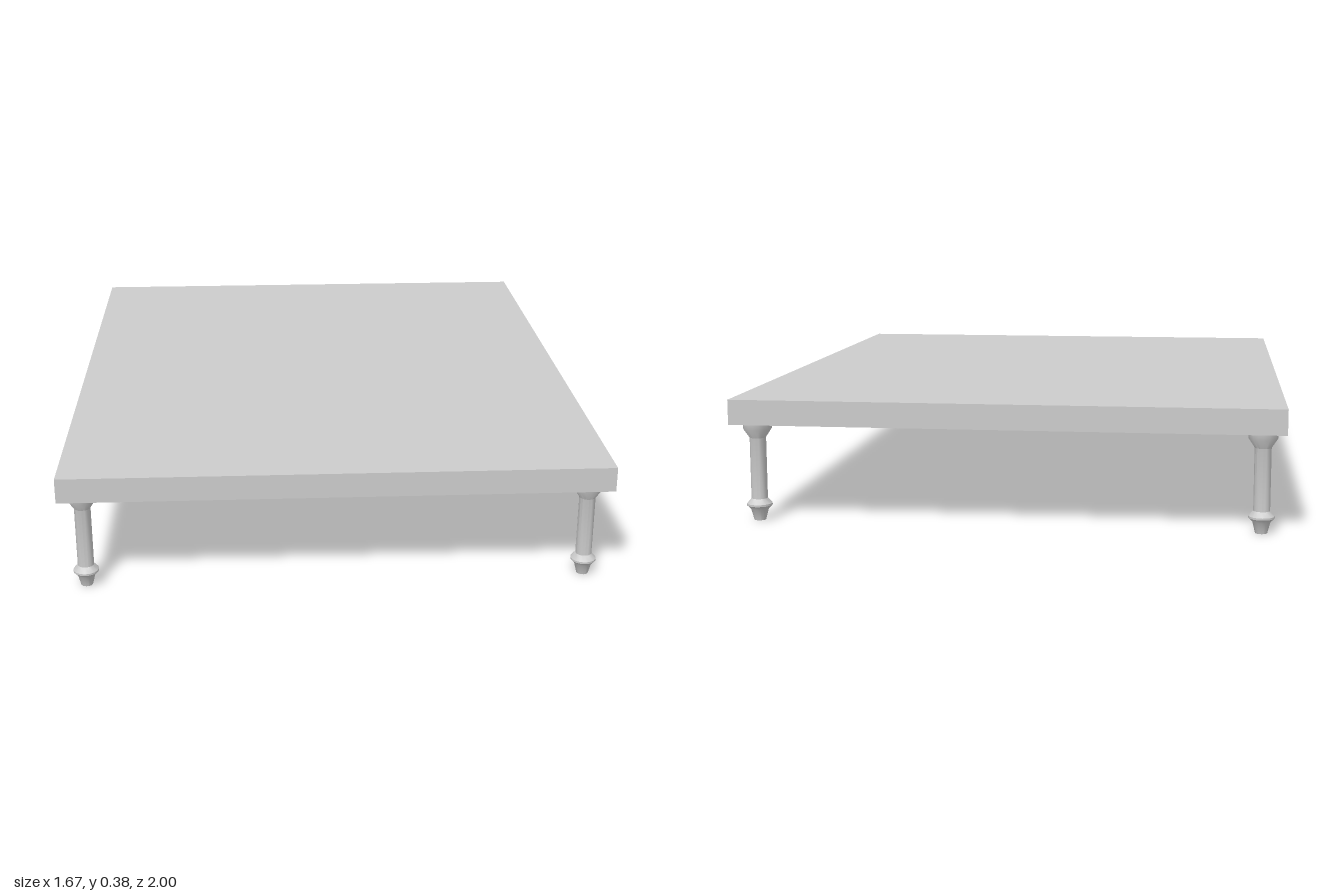
import * as THREE from 'three';
import { toCreasedNormals } from 'three/addons/utils/BufferGeometryUtils.js';

const WIDTH = 1.67, DEPTH = 2, TOP = 0.384, UNDERSIDE = 0.307;

export function createModel() {
  const model = new THREE.Group();
  model.name = 'lowTable';
  const material = new THREE.MeshStandardMaterial({ color: 0xcccccc });

  // Flat slab top
  const slab = new THREE.Mesh(new THREE.BoxGeometry(WIDTH, TOP - UNDERSIDE, DEPTH), material);
  slab.name = 'tableTop';
  slab.position.y = (TOP + UNDERSIDE) / 2;
  model.add(slab);

  // Turned leg profile: tapered foot, ring, shaft, flared collar
  const profile = [
    [0, 0], [0.018, 0], [0.027, 0.034], [0.039, 0.046], [0.039, 0.052],
    [0.025, 0.068], [0.025, 0.258], [0.043, 0.285], [0.045, UNDERSIDE], [0, UNDERSIDE],
  ].map(([r, y]) => new THREE.Vector2(r, y));
  const legGeometry = toCreasedNormals(new THREE.LatheGeometry(profile, 16), Math.PI / 5);

  // One leg near each corner
  for (const [zName, z] of [['front', 0.925], ['back', -0.925]]) {
    for (const [xName, x] of [['Left', 0.768], ['Right', -0.768]]) {
      const leg = new THREE.Mesh(legGeometry, material);
      leg.name = `${zName}${xName}Leg`;
      leg.position.set(x, 0, z);
      model.add(leg);
    }
  }
  return model;
}
